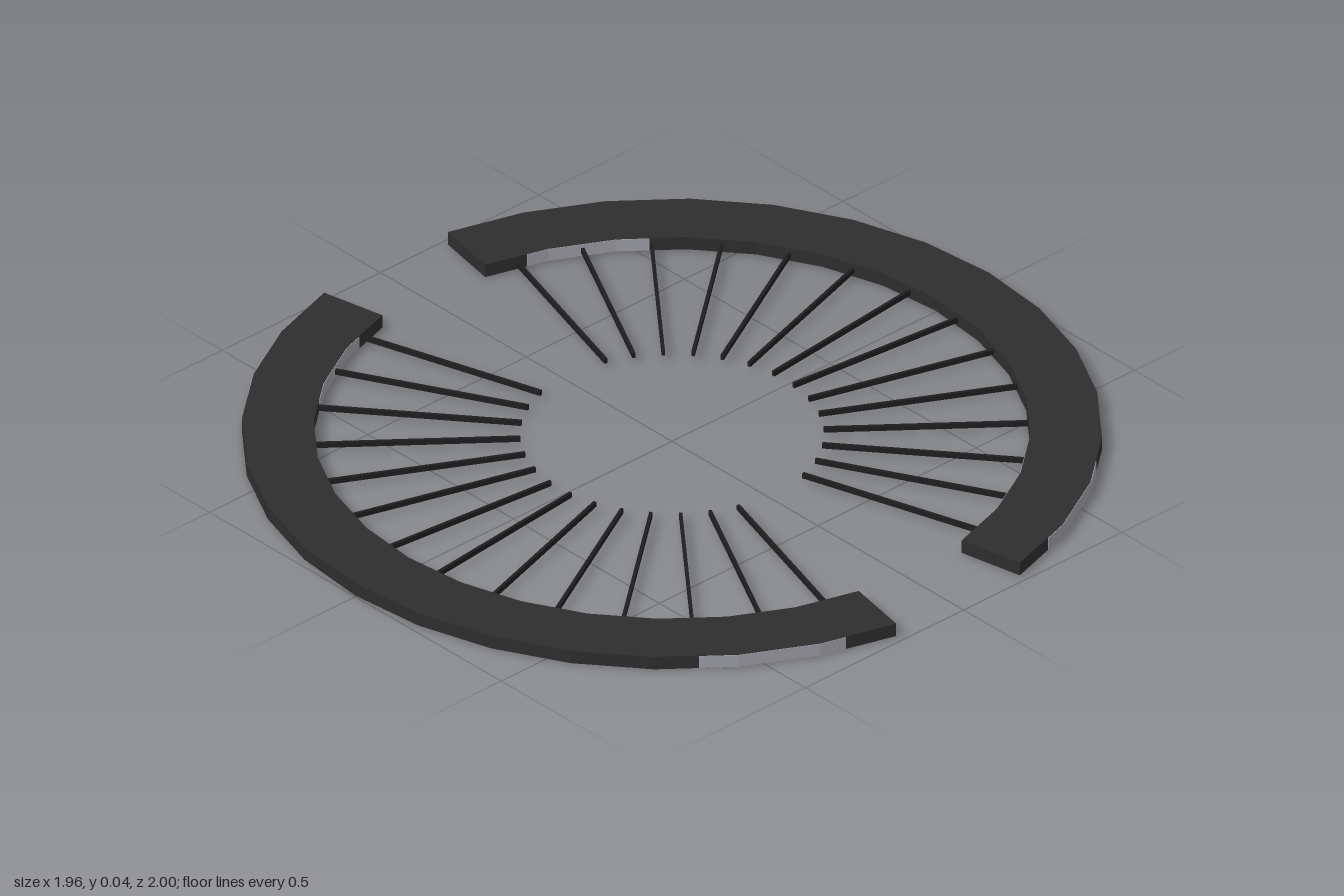
import * as THREE from 'three';

const STEP = Math.PI / 16;            // one facet of the 32-sided ring
const OUTER = 1, INNER = 0.833;
const BOTTOM = 0.003, TOP = 0.037;

const material = (name, color) => {
  const m = new THREE.MeshStandardMaterial({ color });
  m.name = name;
  return m;
};

// Radius of the faceted ring at an angle
function facetRadius(radius, angle) {
  const mid = (Math.floor(angle / STEP + 1e-6) + 0.5) * STEP;
  return radius * Math.cos(STEP / 2) / Math.cos(angle - mid);
}

// Flat arc with straight facets, lying between two heights
function arcSlab(inner, outer, angles, y0, y1) {
  const at = (r, a) => {
    const f = facetRadius(r, a);
    return new THREE.Vector2(f * Math.cos(a), f * Math.sin(a));
  };
  const points = angles.map(a => at(outer, a));
  points.push(...angles.slice().reverse().map(a => at(inner, a)));
  const g = new THREE.ExtrudeGeometry(new THREE.Shape(points), { depth: y1 - y0, bevelEnabled: false });
  g.rotateX(-Math.PI / 2);
  g.translate(0, y0, 0);
  return g;
}

export function createModel() {
  const dark = material('charcoal', 0x2d2d2d);
  const black = material('black', 0x1e1e1e);
  const grey = material('light grey', 0xa0a0a8);

  const model = new THREE.Group();
  model.name = 'splitSpokedRing';

  const add = (parent, name, geometry, mat) => {
    const mesh = new THREE.Mesh(geometry, mat);
    mesh.name = name;
    parent.add(mesh);
    return mesh;
  };

  // Shared geometry
  const rimAngles = Array.from({ length: 15 }, (_, i) => (i + 1) * STEP);
  const rim = arcSlab(INNER, OUTER, rimAngles, BOTTOM, TOP);
  const deg = Math.PI / 180;
  const patchAngles = [18.7 * deg, 2 * STEP, 3 * STEP, 39 * deg];
  const mirrored = patchAngles.map(a => Math.PI - a).reverse();
  const spoke = new THREE.BoxGeometry(0.5, 0.013, 0.008);
  const pad = new THREE.BoxGeometry(0.07, 0.006, 0.1);

  for (let side = 0; side < 2; side++) {
    const half = new THREE.Group();
    half.name = side ? 'frontHalf' : 'backHalf';
    half.rotation.y = side * Math.PI;
    model.add(half);

    add(half, 'rim', rim, dark);

    // Pale panels on the inner and outer walls near each end
    for (const angles of [patchAngles, mirrored]) {
      add(half, 'outerPanel', arcSlab(OUTER - 0.002, OUTER + 0.0015, angles, 0.004, 0.036), grey);
      add(half, 'innerPanel', arcSlab(INNER - 0.0015, INNER + 0.002, angles, 0.004, 0.036), grey);
    }

    // One spoke and one underside pad per facet
    for (let i = 1; i <= 14; i++) {
      const arm = new THREE.Group();
      arm.name = 'arm';
      arm.rotation.y = (i + 0.5) * STEP;
      half.add(arm);
      add(arm, 'spoke', spoke, black).position.set(0.603, 0.02, 0);
      add(arm, 'undersidePad', pad, dark).position.set(0.912, 0.003, 0);
    }
  }
  return model;
}
